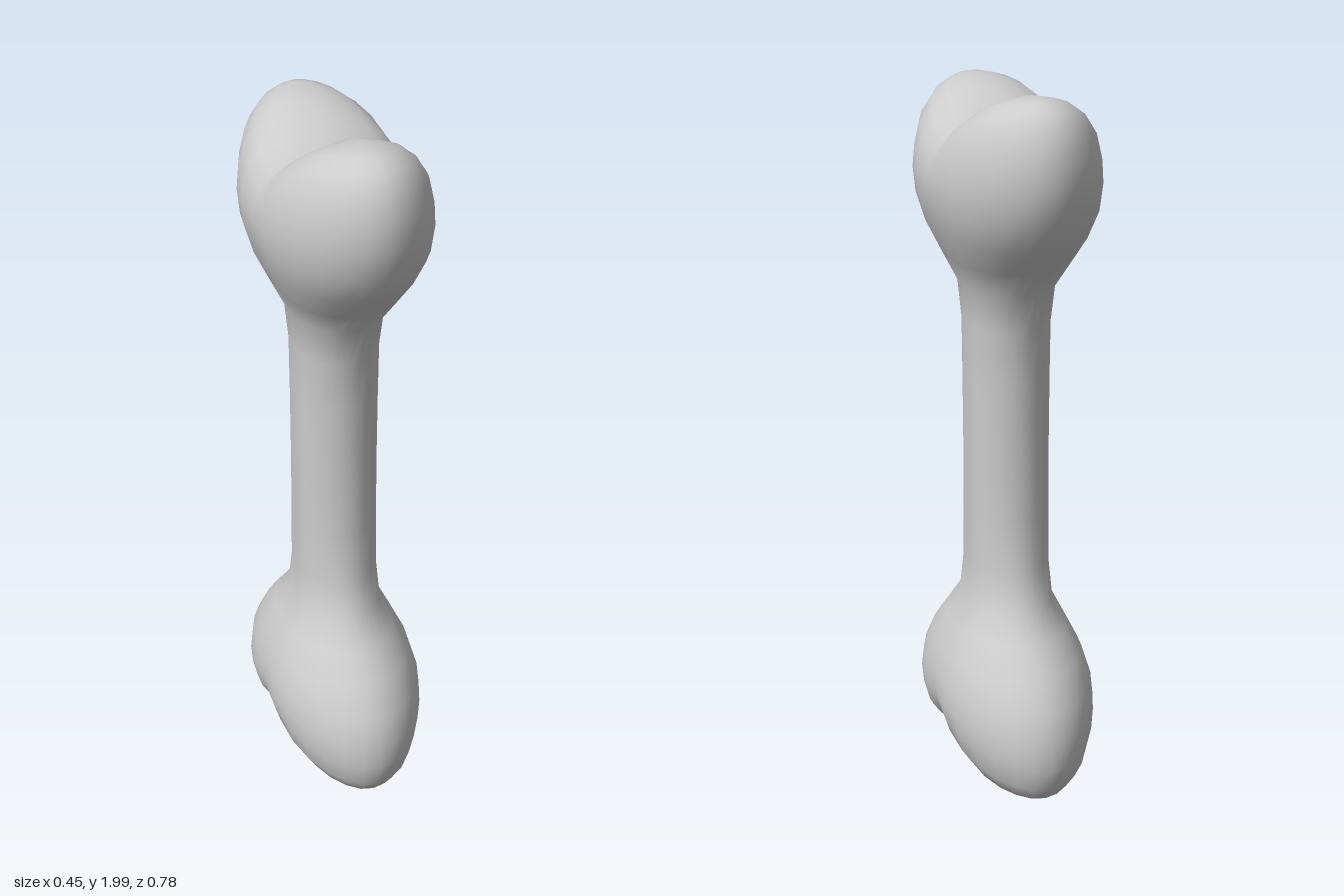
import * as THREE from 'three';
import { mergeVertices } from 'three/addons/utils/BufferGeometryUtils.js';

// Upper half of the bone, from mid shaft to the cleft between the knobs:
// [centre height, half width in x, reach in z, height at that reach, bulge]
const SECTIONS = [
  [1.0, 0.115, 0.125, 1.0, 0],
  [1.2, 0.115, 0.13, 1.2, 0],
  [1.36, 0.115, 0.14, 1.35, 0],
  [1.46, 0.122, 0.175, 1.465, 0],
  [1.54, 0.16, 0.24, 1.535, 0],
  [1.62, 0.197, 0.305, 1.605, 0],
  [1.69, 0.217, 0.368, 1.69, 0],
  [1.74, 0.222, 0.39, 1.78, 0],
  [1.78, 0.216, 0.392, 1.85, 0.005],
  [1.82, 0.2, 0.378, 1.92, 0.012],
  [1.85, 0.17, 0.345, 1.965, 0.02],
  [1.875, 0.125, 0.305, 1.987, 0.026],
  [1.89, 0.07, 0.28, 1.992, 0.029],
  [1.9, 0, 0.25, 1.993, 0.03],
];
const SIDES = 28;

// One ring; its two z halves bend upward into the two knobs
function ring([cy, w, reach, py, bulge], flip) {
  const points = [];
  for (let i = 0; i < SIDES; i++) {
    const a = (i / SIDES) * Math.PI * 2;
    const c = Math.cos(a);
    const k = Math.abs(c);
    const x = w * Math.sin(a) * (1 + 0.2 * k * (1 - k));
    const y = cy + (py - cy) * k + bulge * Math.sin(Math.PI * k);
    points.push(x, flip ? 2 - y : y, reach * c);
  }
  return points;
}

function boneGeometry() {
  // Mirror the sections downward so one skin runs from cleft to cleft
  const rings = [
    ...SECTIONS.slice(1).reverse().map((s) => ring(s, true)),
    ...SECTIONS.map((s) => ring(s, false)),
  ];
  const index = [];
  for (let r = 0; r < rings.length - 1; r++) {
    for (let i = 0; i < SIDES; i++) {
      const j = (i + 1) % SIDES;
      const a = r * SIDES + i, b = r * SIDES + j;
      const d = a + SIDES, e = b + SIDES;
      index.push(a, b, e, a, e, d);
    }
  }
  const geometry = new THREE.BufferGeometry();
  geometry.setAttribute('position', new THREE.Float32BufferAttribute(rings.flat(), 3));
  geometry.setIndex(index);
  // The end rings collapse to a ridge, so weld them before smoothing
  const welded = mergeVertices(geometry, 1e-4);
  welded.computeVertexNormals();
  return welded;
}

export function createModel() {
  const group = new THREE.Group();
  group.name = 'bone';
  const mesh = new THREE.Mesh(
    boneGeometry(),
    new THREE.MeshStandardMaterial({ color: 0xcccccc })
  );
  mesh.name = 'boneBody';
  group.add(mesh);
  return group;
}
